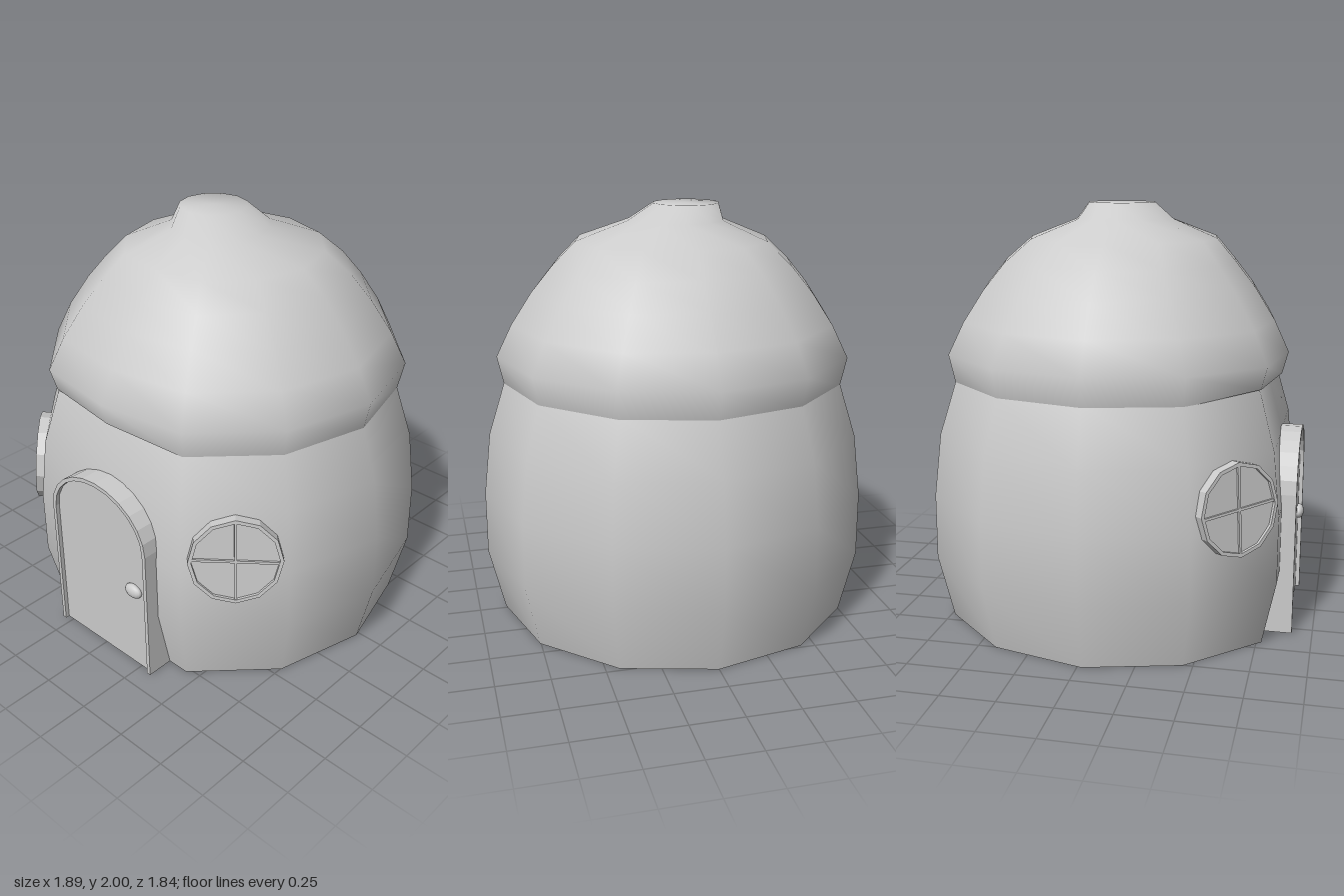
import * as THREE from 'three';
import { mergeVertices } from 'three/addons/utils/BufferGeometryUtils.js';

const SIDES = 12;
const grey = () => new THREE.MeshStandardMaterial({ color: 0xcccccc, side: THREE.DoubleSide });

function add(parent, name, geometry, x = 0, y = 0, z = 0) {
  const mesh = new THREE.Mesh(geometry, grey());
  mesh.name = name;
  mesh.position.set(x, y, z);
  parent.add(mesh);
  return mesh;
}

// Twelve-sided smooth shell. Profile rows: [radius, y, centreX, centreZ].
// The vertex column facing the front is pulled in by frontScale.
function shell(profile, frontScale, lift = 0) {
  const geo = new THREE.LatheGeometry(profile.map(([r, y]) => new THREE.Vector2(r, y)), SIDES);
  const pos = geo.attributes.position;
  const rows = profile.length;
  for (let i = 0; i < pos.count; i++) {
    const column = Math.floor(i / rows) % SIDES;
    const row = i % rows;
    const [, y, cx = 0, cz = 0.02] = profile[row];
    const pull = column === 0 && y < 1.9 ? frontScale : 1;
    const raise = row === 0 && (column === 0 || column === SIDES - 1) ? lift : 0;
    pos.setXYZ(i, pos.getX(i) + cx, y + raise, pos.getZ(i) * pull + cz);
  }
  geo.deleteAttribute('uv');
  geo.deleteAttribute('normal');
  const welded = mergeVertices(geo, 1e-4);
  welded.computeVertexNormals();
  return welded;
}

// Arched outline standing on y = 0
function archPoints(halfWidth, spring, top) {
  const pts = [new THREE.Vector2(-halfWidth, 0)];
  for (let i = 0; i <= 12; i++) {
    const a = Math.PI * (1 - i / 12);
    pts.push(new THREE.Vector2(halfWidth * Math.cos(a), spring + (top - spring) * Math.sin(a)));
  }
  pts.push(new THREE.Vector2(halfWidth, 0));
  return pts;
}

const polygon = (r) => Array.from({ length: SIDES }, (_, i) => {
  const a = (i / SIDES) * Math.PI * 2;
  return new THREE.Vector2(r * Math.cos(a), r * Math.sin(a));
});

const extrude = (shape, depth) =>
  new THREE.ExtrudeGeometry(shape, { depth, bevelEnabled: false });

function createDoor() {
  const door = new THREE.Group();
  door.name = 'door';
  door.position.x = 0.01;
  // frame is an arched band, open at the ground
  const outer = archPoints(0.315, 0.68, 0.935);
  const inner = archPoints(0.295, 0.68, 0.915);
  add(door, 'doorFrame', extrude(new THREE.Shape([...outer, ...inner.reverse()]), 0.155), 0, 0, 0.75);
  add(door, 'doorPanel', new THREE.ShapeGeometry(new THREE.Shape(archPoints(0.3, 0.68, 0.92))), 0, 0, 0.885);
  add(door, 'doorKnob', new THREE.SphereGeometry(1, 16, 12), 0.215, 0.44, 0.893).scale.set(0.05, 0.035, 0.025);
  return door;
}

function createWindow(side) {
  const win = new THREE.Group();
  win.name = side > 0 ? 'leftWindow' : 'rightWindow';
  win.position.set(side * 0.655, 0.71, 0.672);
  win.rotation.set(-0.07, side * Math.PI / 4, 0, 'YXZ');
  const ring = new THREE.Shape(polygon(0.212));
  ring.holes.push(new THREE.Path(polygon(0.195)));
  add(win, 'windowFrame', extrude(ring, 0.07), 0, 0, -0.05);
  add(win, 'windowPane', new THREE.ShapeGeometry(new THREE.Shape(polygon(0.2))), 0, 0, 0.006);
  // crossing bars, slightly askew
  add(win, 'windowBarUpright', new THREE.BoxGeometry(0.012, 0.395, 0.012), 0, 0, 0.01);
  add(win, 'windowBarCross', new THREE.BoxGeometry(0.395, 0.012, 0.012), 0, 0, 0.01).rotation.z = -side * 0.07;
  return win;
}

export function createModel() {
  const house = new THREE.Group();
  house.name = 'roundHouse';

  // bulging wall with a flat front and open bottom
  add(house, 'wall', shell([
    [0.87, 0], [0.945, 0.31], [0.945, 0.62], [0.91, 0.92], [0.83, 1.17], [0.79, 1.25],
  ], Math.cos(Math.PI / 6)));

  // domed roof with a leaning nub on top
  add(house, 'roof', shell([
    [0.83, 1.165], [0.86, 1.3], [0.785, 1.45], [0.685, 1.6], [0.585, 1.72],
    [0.47, 1.83, 0, 0.035], [0.235, 1.92, -0.02, 0.035],
    [0.16, 2, -0.07, 0.03], [0, 2, -0.07, 0.03],
  ], 0.94, 0.03));

  house.add(createDoor(), createWindow(1), createWindow(-1));
  return house;
}
